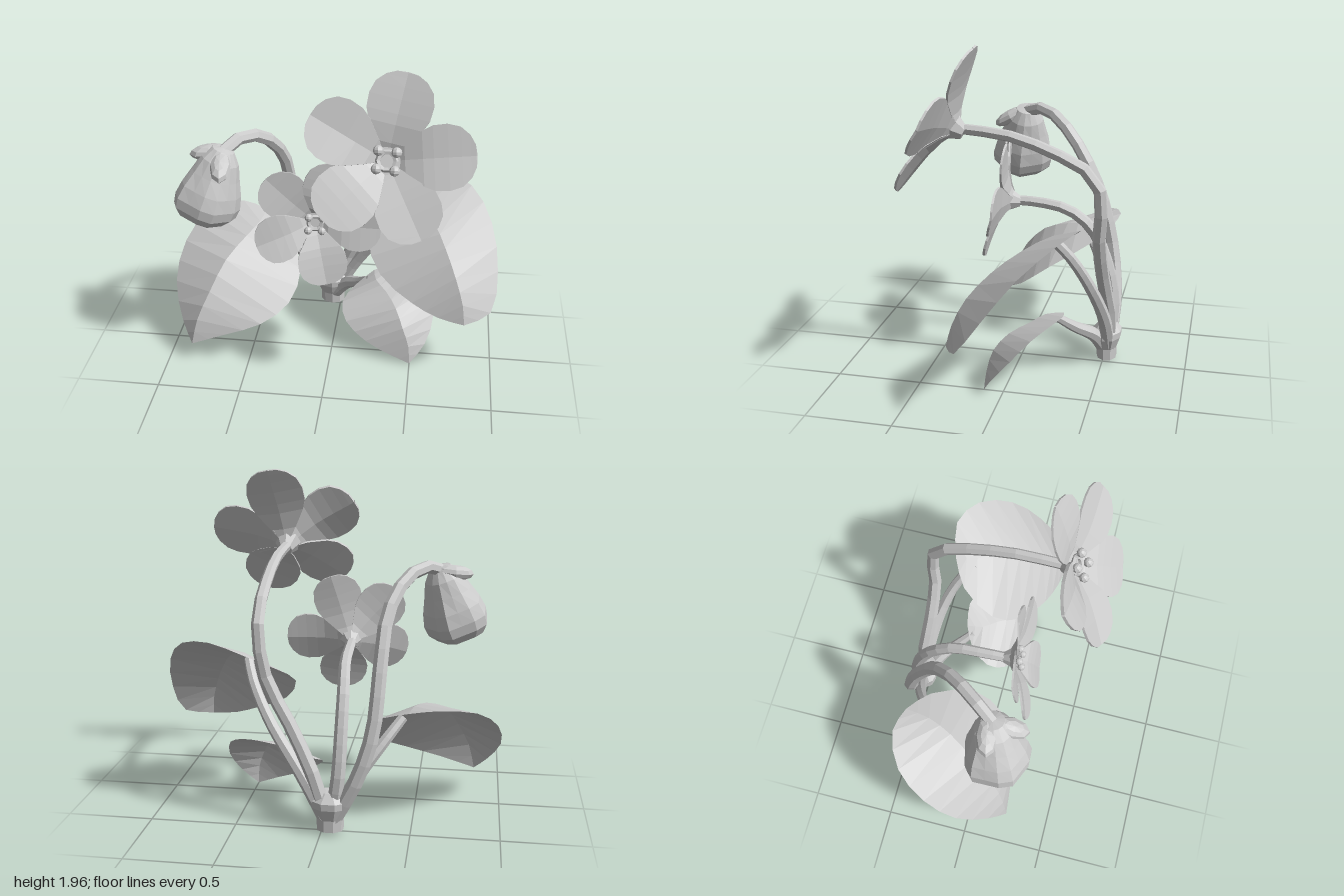
import * as THREE from 'three';

const plant = new THREE.MeshStandardMaterial({ color: 0xcccccc, flatShading: true, side: THREE.DoubleSide });
plant.name = 'paleGrey';
const V = (p) => new THREE.Vector3(...p);

function mesh(name, geometry) {
  const m = new THREE.Mesh(geometry, plant);
  m.name = name;
  return m;
}

// Skin a list of cross-sections, each with the same number of points
function loft(sections, closed = false) {
  const n = sections[0].length, index = [];
  for (let i = 0; i < sections.length - 1; i++) {
    for (let j = 0; j < (closed ? n : n - 1); j++) {
      const a = i * n + j, b = i * n + (j + 1) % n;
      index.push(a, b, a + n, b, b + n, a + n);
    }
  }
  const g = new THREE.BufferGeometry();
  g.setAttribute('position', new THREE.Float32BufferAttribute(sections.flat(2), 3));
  g.setIndex(index);
  g.computeVertexNormals();
  return g;
}

// Tapered stem along a smooth path
function stem(name, points, r0, r1) {
  const curve = new THREE.CatmullRomCurve3(points.map(V));
  const steps = 14, sides = 7;
  const g = new THREE.TubeGeometry(curve, steps, r0, sides);
  const pos = g.attributes.position, p = new THREE.Vector3();
  for (let i = 0; i < pos.count; i++) {
    const u = Math.floor(i / (sides + 1)) / steps;
    const c = curve.getPointAt(u);
    p.fromBufferAttribute(pos, i).sub(c).multiplyScalar(1 + (r1 / r0 - 1) * u).add(c);
    pos.setXYZ(i, p.x, p.y, p.z);
  }
  g.computeVertexNormals();
  return mesh(name, g);
}

// Leaf folded along its midrib: rows of [right edge, midrib, left edge], smoothed lengthwise
function leaf(name, back, rows, tip) {
  const all = [[back, back, back], ...rows, [tip, tip, tip]], steps = 12;
  const curves = [0, 1, 2].map((j) => new THREE.CatmullRomCurve3(all.map((r) => V(r[j]))));
  const sections = [];
  for (let i = 0; i <= steps; i++) sections.push(curves.map((c) => c.getPoint(i / steps).toArray()));
  return mesh(name, loft(sections));
}

// Petal along +y, opening towards +z: [distance, half width, height]
function petal() {
  const t = 0.014;
  const rows = [[0.03, 0.02, 0], [0.1, 0.08, 0.045], [0.2, 0.152, 0.08], [0.26, 0.178, 0.092],
    [0.34, 0.182, 0.104], [0.41, 0.162, 0.112], [0.46, 0.115, 0.117], [0.487, 0.06, 0.12], [0.493, 0.003, 0.12]];
  return loft(rows.map(([y, w, z]) => {
    const e = z + w * 0.1;
    return [[-w, y, e], [0, y, z], [w, y, e], [w, y, e - t], [0, y, z - t], [-w, y, e - t]];
  }), true);
}

// Open flower; each petal is [angle, length factor, cup depth factor]
function flower(name, at, facing, scale, petals) {
  const f = new THREE.Group();
  f.name = name;
  for (const [angle, length, depth] of petals) {
    const p = mesh('petal', petal());
    p.rotation.z = THREE.MathUtils.degToRad(angle - 90);
    p.scale.set(1, length, depth);
    f.add(p);
  }
  // Calyx behind the petals and ring in the throat
  const calyx = mesh('calyx', new THREE.CylinderGeometry(0.085, 0.04, 0.08, 8));
  calyx.rotation.x = Math.PI / 2;
  calyx.position.z = -0.012;
  const ring = mesh('throatRing', new THREE.TorusGeometry(0.05, 0.016, 5, 10));
  ring.position.z = 0.045;
  f.add(calyx, ring);
  // Stamens
  for (let i = 0; i < 4; i++) {
    const a = Math.PI * (0.23 + i / 2), x = Math.cos(a), y = Math.sin(a);
    f.add(stem('filament', [[x * 0.045, y * 0.045, 0.02], [x * 0.07, y * 0.07, 0.075]], 0.012, 0.012));
    const anther = mesh('anther', new THREE.SphereGeometry(0.03, 8, 6));
    anther.position.set(x * 0.072, y * 0.072, 0.08);
    f.add(anther);
  }
  f.position.set(...at);
  f.lookAt(V(at).add(V(facing)));
  f.scale.setScalar(scale);
  return f;
}

// Hanging closed bud with soft lobes and two sepals
function bud() {
  const g = new THREE.Group();
  g.name = 'bud';
  const top = V([-0.6, 1.43, 0.1]), end = V([-0.75, 0.99, 0.165]);
  const profile = [[0.001, 0], [0.065, 0.015], [0.11, 0.08], [0.14, 0.17], [0.172, 0.26],
    [0.188, 0.34], [0.18, 0.4], [0.14, 0.45], [0.08, 0.46], [0.001, 0.41]];
  const body = new THREE.LatheGeometry(profile.map(([r, y]) => new THREE.Vector2(r, -y)).reverse(), 15);
  const pos = body.attributes.position;
  for (let i = 0; i < pos.count; i++) {
    const x = pos.getX(i), z = pos.getZ(i);
    const k = 1 + 0.07 * Math.cos(5 * Math.atan2(z, x)) * Math.min(1, -pos.getY(i) / 0.3);
    pos.setX(i, x * k);
    pos.setZ(i, z * k);
  }
  body.computeVertexNormals();
  const b = mesh('budBody', body);
  b.position.copy(top);
  b.quaternion.setFromUnitVectors(V([0, -1, 0]), end.sub(top).normalize());
  g.add(b);
  for (const [at, dir] of [[[-0.69, 1.39, 0.09], [-1, -0.1, 0.2]], [[-0.605, 1.36, 0.205], [0.1, -0.5, 0.9]]]) {
    const s = mesh('sepal', new THREE.SphereGeometry(1, 8, 6));
    s.scale.set(0.06, 0.045, 0.115);
    s.position.set(...at);
    s.lookAt(V(at).add(V(dir)));
    g.add(s);
  }
  return g;
}

export function createModel() {
  const model = new THREE.Group();
  model.name = 'floweringPlant';

  // Root crown
  const crown = mesh('crown', new THREE.LatheGeometry(
    [[0.001, 0.02], [0.078, 0.02], [0.08, 0.09], [0.112, 0.16], [0.115, 0.2], [0.06, 0.25], [0.001, 0.25]]
      .map(([r, y]) => new THREE.Vector2(r, y)), 9));
  crown.position.set(-0.05, 0, -0.52);
  crown.scale.z = 0.78;
  model.add(crown);

  // Flower and bud stems
  model.add(
    stem('tallFlowerStem', [[-0.03, 0.08, -0.53], [0.04, 0.34, -0.54], [0.16, 0.6, -0.515], [0.31, 0.9, -0.505],
      [0.345, 1.17, -0.515], [0.345, 1.29, -0.44], [0.345, 1.4, -0.22], [0.34, 1.47, 0], [0.33, 1.495, 0.29]], 0.045, 0.03),
    stem('lowFlowerStem', [[-0.06, 0.08, -0.52], [-0.1, 0.35, -0.545], [-0.11, 0.6, -0.5], [-0.11, 0.8, -0.41],
      [-0.1, 0.92, -0.27], [-0.1, 0.96, -0.08], [-0.095, 0.965, 0.06]], 0.044, 0.03),
    stem('budStem', [[-0.07, 0.08, -0.53], [-0.2, 0.33, -0.545], [-0.285, 0.6, -0.515], [-0.315, 0.95, -0.43],
      [-0.34, 1.22, -0.3], [-0.42, 1.38, -0.16], [-0.52, 1.44, -0.03], [-0.61, 1.4, 0.1]], 0.045, 0.038));

  // Leaf stalks
  model.add(
    stem('largeLeafStalk', [[-0.02, 0.1, -0.53], [0.1, 0.32, -0.52], [0.3, 0.62, -0.45], [0.41, 0.82, -0.36], [0.455, 0.93, -0.275]], 0.044, 0.028),
    stem('wideLeafStalk', [[-0.08, 0.1, -0.52], [-0.2, 0.33, -0.5], [-0.34, 0.52, -0.43], [-0.44, 0.645, -0.35]], 0.044, 0.028),
    stem('smallLeafStalk', [[-0.03, 0.1, -0.5], [0.05, 0.2, -0.45], [0.14, 0.28, -0.35], [0.22, 0.37, -0.25]], 0.05, 0.024));

  // Leaves
  model.add(
    leaf('largeLeaf', [0.45, 0.98, -0.41], [
      [[0.3, 0.89, -0.32], [0.48, 0.965, -0.28], [0.64, 1.06, -0.45]],
      [[0.21, 0.76, -0.12], [0.6, 0.9, -0.12], [0.82, 1.03, -0.36]],
      [[0.3, 0.6, 0.04], [0.68, 0.8, 0.02], [0.95, 0.88, -0.18]],
      [[0.5, 0.49, 0.16], [0.75, 0.67, 0.14], [1, 0.65, 0]],
      [[0.66, 0.43, 0.21], [0.8, 0.53, 0.21], [0.97, 0.45, 0.15]]], [0.815, 0.41, 0.24]),
    leaf('wideLeaf', [-0.48, 0.71, -0.48], [
      [[-0.64, 0.745, -0.515], [-0.5, 0.705, -0.33], [-0.33, 0.64, -0.37]],
      [[-0.85, 0.71, -0.42], [-0.56, 0.68, -0.18], [-0.21, 0.5, -0.12]],
      [[-0.97, 0.58, -0.24], [-0.66, 0.6, -0.01], [-0.26, 0.36, 0.06]],
      [[-0.995, 0.4, -0.04], [-0.74, 0.45, 0.13], [-0.42, 0.27, 0.18]],
      [[-0.92, 0.23, 0.14], [-0.81, 0.29, 0.21], [-0.64, 0.2, 0.22]]], [-0.845, 0.13, 0.24]),
    leaf('smallLeaf', [0.24, 0.41, -0.3], [
      [[0.13, 0.33, -0.24], [0.26, 0.4, -0.2], [0.38, 0.445, -0.32]],
      [[0.055, 0.27, -0.12], [0.33, 0.37, -0.12], [0.5, 0.435, -0.27]],
      [[0.09, 0.2, -0.01], [0.4, 0.32, -0.01], [0.6, 0.38, -0.18]],
      [[0.22, 0.11, 0.06], [0.45, 0.23, 0.07], [0.635, 0.26, -0.07]],
      [[0.37, 0.05, 0.1], [0.49, 0.12, 0.1], [0.59, 0.11, 0.05]]], [0.5, 0, 0.115]));

  // Open flowers and bud
  model.add(
    flower('tallFlower', [0.335, 1.495, 0.3], [0, 0.47, 0.88], 0.965,
      [[79, 1, 0.92], [152, 0.97, 1.45], [225, 0.97, 1.12], [297, 0.97, 0.92], [6, 1, 0.95]]),
    flower('lowFlower', [-0.09, 0.965, 0.07], [0.15, 0.17, 0.97], 0.79,
      [[72, 1, 1.1], [134, 1.03, 0.95], [199, 0.93, 1.1], [280, 0.93, 1.25], [-3, 0.98, 1.15]]),
    bud());
  return model;
}
